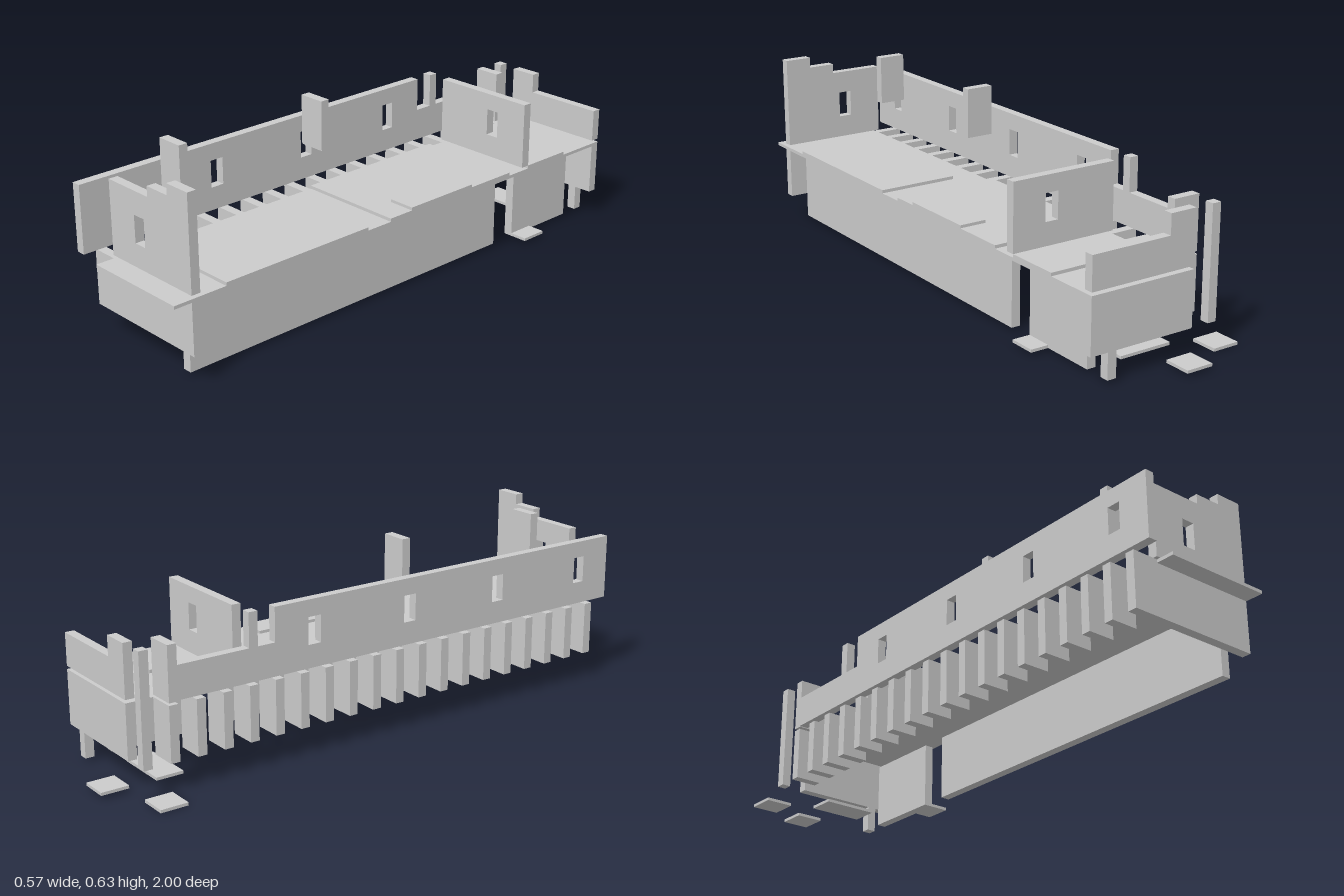
import * as THREE from 'three';

const material = new THREE.MeshStandardMaterial({ color: 0xcccccc, side: THREE.DoubleSide });
const U = 2 / 63; // plan grid: the hall is 63 cells long

// Heights shared by many parts
const LOW = 0.10, FLOOR = 0.276, DECK = 0.287, BASE = 0.298;
const WIN = [0.376, 0.468];

export function createModel() {
  const model = new THREE.Group();

  // Box between plan cells x0..x1, z0..z1 and heights y0..y1
  function block(name, x0, x1, y0, y1, z0, z1) {
    const g = new THREE.BoxGeometry((x1 - x0) * U, y1 - y0, (z1 - z0) * U);
    g.translate((x0 + x1) * U / 2, (y0 + y1) / 2, (z0 + z1) * U / 2);
    const mesh = new THREE.Mesh(g, material);
    mesh.name = name;
    model.add(mesh);
    return mesh;
  }

  // One-cell-thick wall from an outline [cell, height], with windows centred on given cells
  function wall(name, outline, windows) {
    const shape = new THREE.Shape(outline.map(([a, y]) => new THREE.Vector2(a * U, y)));
    for (const c of windows) {
      const a = (c - 0.75) * U, b = (c + 0.75) * U;
      shape.holes.push(new THREE.Path([[a, WIN[0]], [a, WIN[1]], [b, WIN[1]], [b, WIN[0]]]
        .map(([x, y]) => new THREE.Vector2(x, y))));
    }
    const g = new THREE.ExtrudeGeometry(shape, { depth: U, bevelEnabled: false });
    const mesh = new THREE.Mesh(g, material);
    mesh.name = name;
    model.add(mesh);
    return mesh;
  }

  // Floor and raised slabs
  block('floor', -3, 9, FLOOR, DECK, -28.5, 31.5);
  block('frontSlab', 0, 9, DECK, BASE, 7.5, 25.5);
  block('middleSlab', -3, 9, DECK, BASE, -13.5, 4.4);
  block('middleStep', 6, 9, BASE, 0.308, -7.5, 1.4);
  block('rearSlab', 3, 9, DECK, BASE, -22.5, -16.5);

  // Front wall with stepped top, and the wall beneath the floor
  wall('frontWall', [[-3, BASE], [9, BASE], [9, 0.617], [6, 0.617], [6, 0.58],
    [3, 0.58], [3, 0.546], [-3, 0.546]], [1.5]).position.z = 28.5 * U;
  block('frontFoundation', -6, 9, LOW, FLOOR, 28.5, 29.5);

  // Cross wall
  wall('crossWall', [[-3, BASE], [9, BASE], [9, 0.525], [-3, 0.525]], [4.5])
    .position.z = -16.5 * U;

  // Back wall and its foundation
  wall('backWall', [[-3, BASE], [9, BASE], [9, 0.41], [0, 0.41], [0, 0.478], [-3, 0.478]], [])
    .position.z = -28.5 * U;
  block('backFoundation', -3, 9, LOW, FLOOR, -28.5, -27.5);
  block('backLeg', 6, 7, 0.012, 0.24, -28.5, -27.5);

  // Long side wall: outline runs along -z, then is turned into place
  const side = wall('sideWall', [[-31.5, BASE], [25.5, BASE], [25.5, 0.41], [16.5, 0.41],
    [16.5, 0.525], [15.5, 0.525], [15.5, 0.41], [13.5, 0.41], [13.5, 0.525], [-31.5, 0.525]],
  [-27.2, -15.2, -3.2, 8.8]);
  side.rotation.y = Math.PI / 2;
  side.position.x = -6 * U;

  // Buttresses under the long side wall
  for (let k = 0; k <= 18; k++) {
    const z = -25.5 + 3 * k;
    block('buttress', -6, -3, LOW, DECK, z, z + 1);
  }
  block('rearPier', -6, -3, 0.295, 0.478, -25.5, -24.5);
  block('cornerPost', -6, -5, LOW, 0.478, -28.5, -27.5);

  // Raised piers along the hall
  for (const z of [4.5, 22.5]) block('hangingPier', -3, 0, 0.457, 0.627, z, z + 1);

  // Foundation walls on the open side
  block('longFoundation', 6, 7, 0.012, 0.24, -13.5, 28.5);
  block('rearFoundation', 6, 7, 0.012, 0.24, -25.5, -16.5);

  // Loose ground slabs
  block('cornerGroundSlab', -9, -6, 0, 0.01, -28.5, -25.5);
  block('backGroundSlab', -3, 0, 0.012, 0.022, -31.5, -28.5);
  block('innerGroundSlab', -3, 3, 0.012, 0.022, -25.5, -22.5);
  block('sideGroundSlab', 6, 9, 0.012, 0.022, -19.5, -16.5);

  return model;
}
